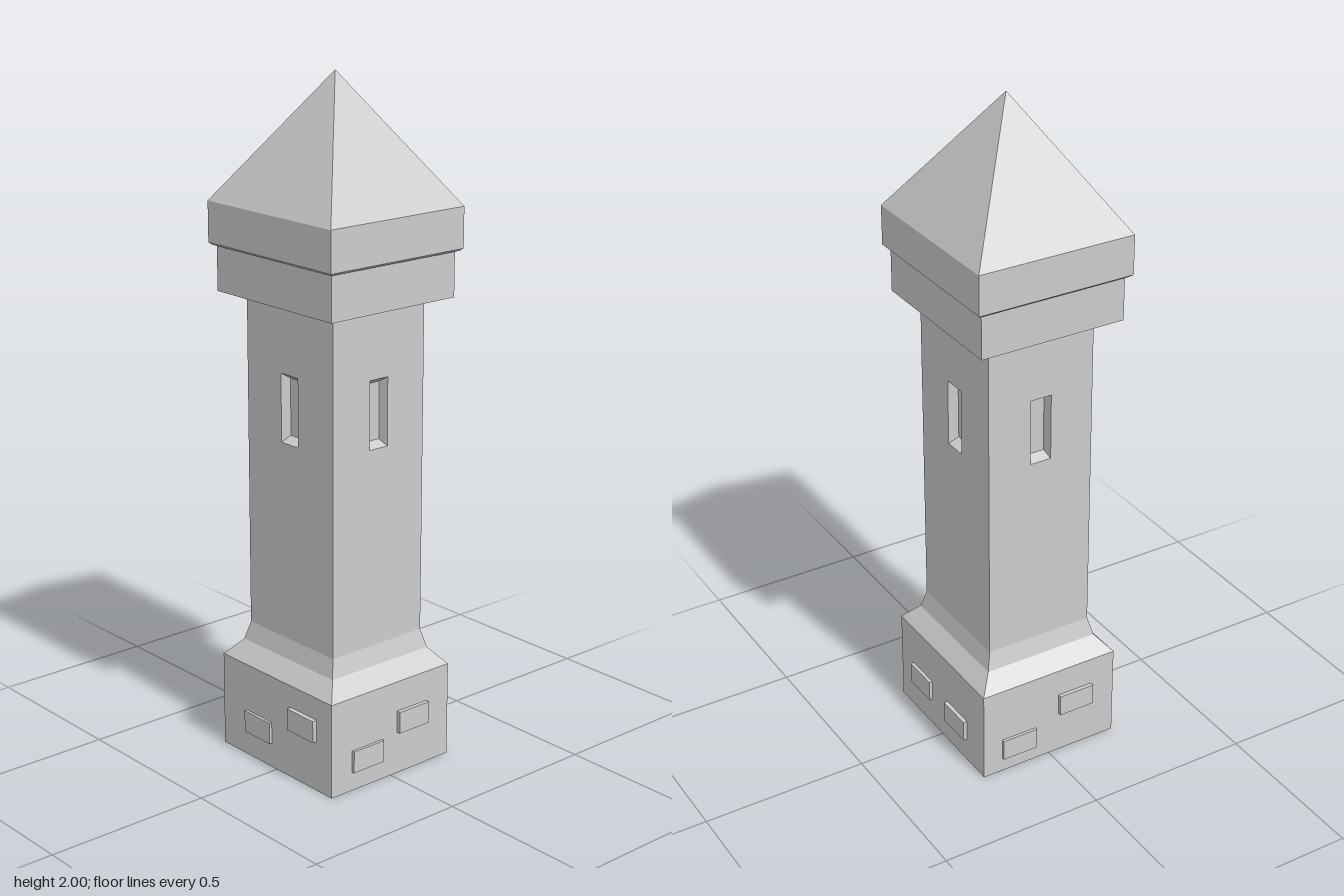
import * as THREE from 'three';

const stone = new THREE.MeshStandardMaterial({ color: 0xcccccc, flatShading: true });

// Joins four-cornered rings (counter-clockwise as seen from the end) into flat faces.
function loft(rings, capStart, capEnd) {
  const pos = [];
  const quad = (a, b, c, d) => [a, b, c, a, c, d].forEach((p) => pos.push(...p));
  for (let r = 0; r < rings.length - 1; r++) {
    for (let i = 0; i < 4; i++) {
      const j = (i + 1) % 4;
      quad(rings[r][i], rings[r][j], rings[r + 1][j], rings[r + 1][i]);
    }
  }
  if (capStart) quad(...[...rings[0]].reverse());
  if (capEnd) quad(...rings[rings.length - 1]);
  const g = new THREE.BufferGeometry();
  g.setAttribute('position', new THREE.Float32BufferAttribute(pos, 3));
  g.computeVertexNormals();
  return g;
}

// Horizontal ring from half width, half depth and height.
const level = ([x, z, y]) => [[-x, y, z], [x, y, z], [x, y, -z], [-x, y, -z]];
// Upright ring facing +z.
const upright = (x, y0, y1, z) => [[-x, y0, z], [x, y0, z], [x, y1, z], [-x, y1, z]];

function add(parent, name, geometry) {
  const mesh = new THREE.Mesh(geometry, stone);
  mesh.name = name;
  parent.add(mesh);
  return mesh;
}

const BASE = { x: 0.2235, z: 0.243 };
const SHAFT = { x: 0.167, z: 0.183, y0: 0.39, y1: 1.38 };

// Sides in order front, left (+x), back, right (-x); each stone is [centre along side, bottom, projection].
const stones = [
  [[-0.09, 0.057, 0.009], [0.081, 0.128, 0.013]],
  [[-0.115, 0.09, 0.01], [0.088, 0.075, 0.012]],
  [[-0.104, 0.045, 0.009], [0.089, 0.133, 0.012]],
  [[-0.079, 0.075, 0.009], [0.121, 0.152, 0.014]],
];

export function createModel() {
  const tower = new THREE.Group();
  tower.name = 'tower';

  // Plinth with its two-step sloped shoulder
  add(tower, 'plinth', loft([
    [BASE.x, BASE.z, 0], [BASE.x, BASE.z, 0.285],
    [0.181, 0.198, 0.335], [SHAFT.x, SHAFT.z, SHAFT.y0],
  ].map(level), true, false));

  for (let i = 0; i < 4; i++) {
    const onEnd = i % 2 === 0;
    const side = new THREE.Group();
    side.name = ['front', 'left', 'back', 'right'][i] + 'Side';
    side.rotation.y = (i * Math.PI) / 2;
    tower.add(side);

    // Shaft wall with a window opening
    const half = onEnd ? SHAFT.x : SHAFT.z;
    const out = onEnd ? SHAFT.z : SHAFT.x;
    const w = onEnd ? 0.033 : 0.036;
    const toPoints = (ring) => ring.map(([x, y]) => new THREE.Vector2(x, y));
    const wall = new THREE.Shape(toPoints(upright(half, SHAFT.y0, SHAFT.y1, 0)));
    wall.holes.push(new THREE.Path(toPoints(upright(w, 0.975, 1.175, 0)).reverse()));
    add(side, 'shaftWall', new THREE.ShapeGeometry(wall)).position.z = out;

    // Recess narrowing towards its back
    add(side, 'windowRecess', loft([
      upright(w, 0.975, 1.175, out),
      upright(w - 0.005, 0.99, 1.157, out - 0.03),
    ], false, true));

    // Raised stones on the plinth
    const face = onEnd ? BASE.z : BASE.x;
    for (const [u, y, d] of stones[i]) {
      const block = add(side, 'raisedStone', new THREE.BoxGeometry(0.114, 0.066, d + 0.02));
      block.position.set(u, y + 0.033, face + (d - 0.02) / 2);
    }
  }

  // Collar below the roof
  add(tower, 'collar', loft([
    [BASE.x, BASE.z, 1.38], [BASE.x, BASE.z, 1.515],
  ].map(level), true, true));

  // Eave band and pyramid roof
  add(tower, 'roof', loft([
    [0.232, 0.252, 1.511], [0.24, 0.26, 1.518], [0.24, 0.26, 1.635], [0, 0, 2],
  ].map(level), true, false));

  return tower;
}
